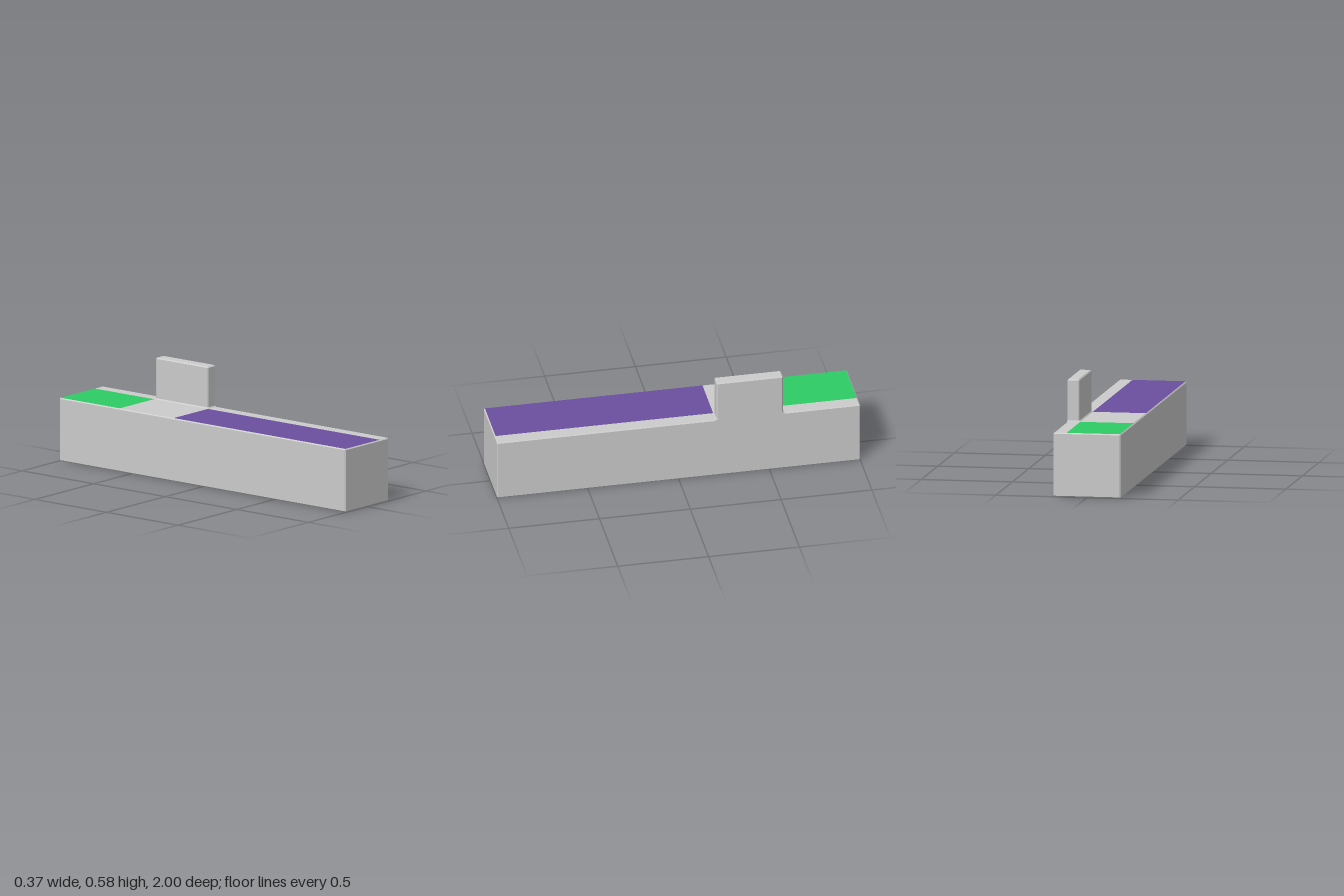
import * as THREE from 'three';

const B = 0.006; // bevel width

// Eight-point rectangle with cut corners, counter-clockwise from above
function ring(y, x0, x1, z0, z1, c) {
  return [
    [x1, z1 - c], [x1, z0 + c], [x1 - c, z0], [x0 + c, z0],
    [x0, z0 + c], [x0, z1 - c], [x0 + c, z1], [x1 - c, z1],
  ].map(([x, z]) => [x, y, z]);
}

// Skin a stack of rings, optionally closing the ends
function loft(rings, capBottom, capTop) {
  const n = 8, index = [];
  for (let r = 0; r < rings.length - 1; r++) {
    for (let i = 0; i < n; i++) {
      const a = r * n + i, b = r * n + (i + 1) % n;
      index.push(a, b, b + n, a, b + n, a + n);
    }
  }
  const top = (rings.length - 1) * n;
  for (let i = 1; i < n - 1; i++) {
    if (capBottom) index.push(0, i + 1, i);
    if (capTop) index.push(top, top + i, top + i + 1);
  }
  const g = new THREE.BufferGeometry();
  g.setAttribute('position', new THREE.Float32BufferAttribute(rings.flat(2), 3));
  g.setIndex(index);
  const flat = g.toNonIndexed();
  flat.computeVertexNormals();
  return flat;
}

export function createModel() {
  const group = new THREE.Group();
  const add = (name, geometry, color = 0xcccccc) => {
    const mesh = new THREE.Mesh(geometry, new THREE.MeshStandardMaterial({ color, flatShading: true }));
    mesh.name = name;
    group.add(mesh);
  };
  const W = 0.185, H = 0.35, L = 1;

  // Long bevelled block, open on top where the panels lie
  add('body', loft([
    ring(0, -W + B, W - B, -L + B, L - B, 0),
    ring(B, -W, W, -L, L, B),
    ring(H - B, -W, W, -L, L, B),
    ring(H, -W + B, W - B, -L + B, L - B, 0),
  ], true, false));

  // Upright tab, flush with the side and flared at its foot
  const x0 = 0.118, z0 = -0.575, z1 = -0.21, top = 0.58;
  add('uprightTab', loft([
    ring(H - B, x0 - B, W, z0 - B, z1 + B, 0),
    ring(H, x0 - B, W, z0 - B, z1 + B, 0),
    ring(H + B, x0, W, z0, z1, B),
    ring(top - B, x0, W, z0, z1, B),
    ring(top, x0 + B, W - B, z0 + B, z1 - B, 0),
  ], false, true));

  // Flat panels that make up the top surface
  const panel = (name, xa, xb, za, zb, color) => {
    const g = new THREE.PlaneGeometry(xb - xa, zb - za);
    g.rotateX(-Math.PI / 2).translate((xa + xb) / 2, H, (za + zb) / 2);
    add(name, g, color);
  };
  const left = -W + B, split = x0 - B, end = L - B;
  panel('frontPanel', left, split, z1 + B, end, 0x6b4fa0);
  panel('middlePanel', left, split, z0 - B, z1 + B);
  panel('backPanel', left, split, -end, z0 - B, 0x2ecc66);
  panel('edgeStrip', split, W - B, -end, end);

  return group;
}
